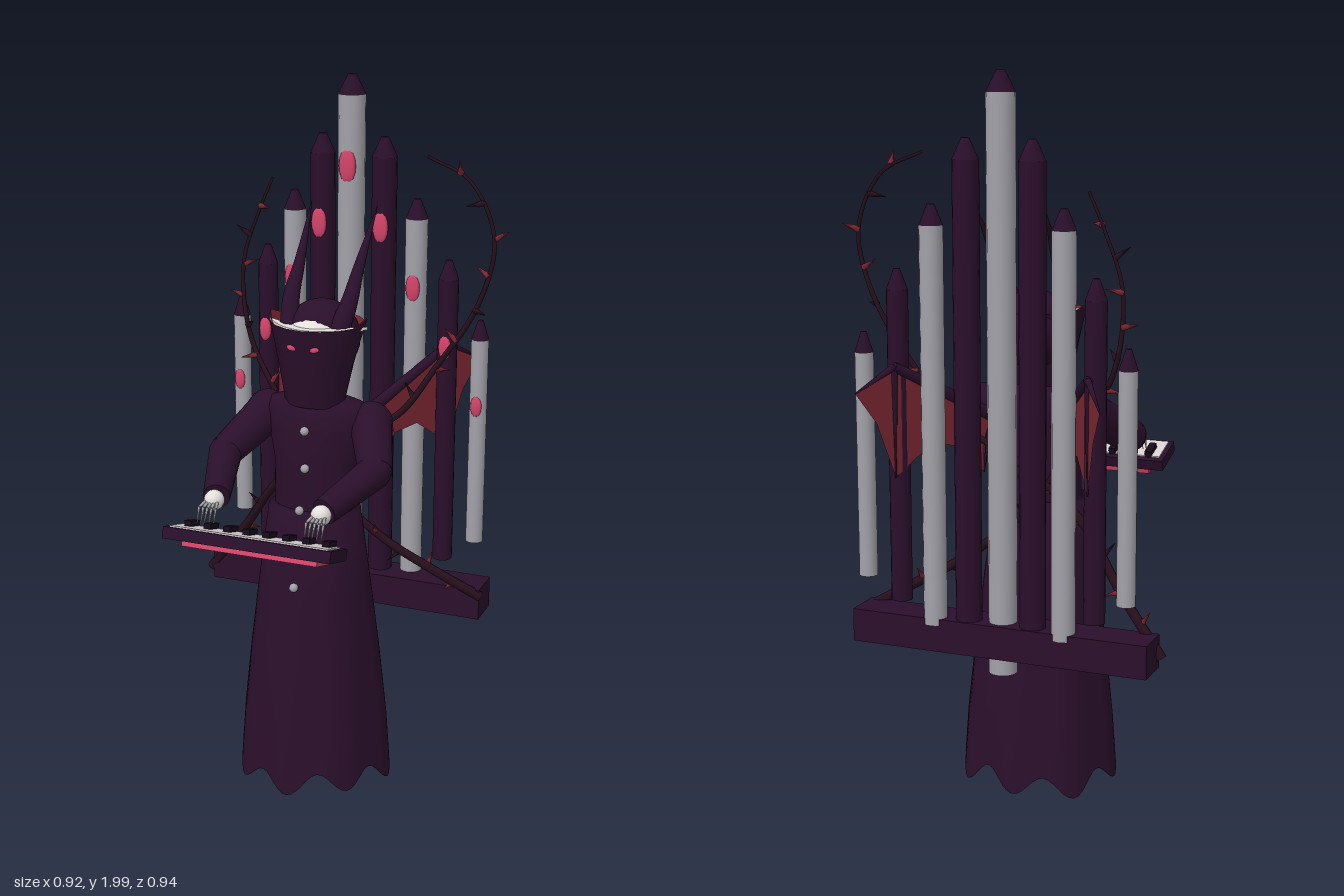
import * as THREE from 'three';

const mat = (name, color, side = THREE.FrontSide) => {
  const m = new THREE.MeshStandardMaterial({ color, side });
  m.name = name;
  return m;
};
const V = (x, y, z) => new THREE.Vector3(x, y, z);

export function createModel() {
  const cloth = mat('dark purple cloth', 0x2a0f2b);
  const vineMat = mat('dark vine', 0x260f1c);
  const black = mat('black keys', 0x170a1a);
  const silver = mat('silver pipe', 0xa2a2a9);
  const bone = mat('bone white', 0xe4e0dc);
  const ivory = mat('ivory keys', 0xd8cfd3);
  const pink = mat('pink glow', 0xd4446a);
  const red = mat('dark red lining', 0x7a2631, THREE.DoubleSide);

  const model = new THREE.Group();
  model.name = 'organPlayer';
  const body = new THREE.Group(); // symmetric parts around the figure's own axis
  body.name = 'figureAndOrgan';
  body.position.x = -0.0175;
  model.add(body);

  const add = (parent, name, geo, material, x = 0, y = 0, z = 0) => {
    const m = new THREE.Mesh(geo, material);
    m.name = name;
    m.position.set(x, y, z);
    parent.add(m);
    return m;
  };

  // Cylinder or cone running from point a to point b
  const limb = (parent, name, a, b, ra, rb, material, sides = 16) => {
    const d = b.clone().sub(a);
    const m = add(parent, name, new THREE.CylinderGeometry(rb, ra, d.length(), sides), material);
    m.position.copy(a).addScaledVector(d, 0.5);
    m.quaternion.setFromUnitVectors(V(0, 1, 0), d.normalize());
    return m;
  };

  // Curved tube whose radius follows a rule
  const taperTube = (curve, radius, segs, sides) => {
    const g = new THREE.TubeGeometry(curve, segs, 1, sides);
    const p = g.attributes.position, v = V(0, 0, 0);
    for (let i = 0; i < p.count; i++) {
      const t = Math.floor(i / (sides + 1)) / segs, c = curve.getPointAt(t);
      v.fromBufferAttribute(p, i).sub(c).multiplyScalar(radius(t)).add(c);
      p.setXYZ(i, v.x, v.y, v.z);
    }
    return g;
  };

  // Skin over elliptical rings [y, rx, rz, cz]; warp may bend a ring point
  const loft = (rings, n, { cap = false, flip = false, warp } = {}) => {
    const pos = [], idx = [];
    rings.forEach(([y, rx, rz, cz], r) => {
      for (let i = 0; i <= n; i++) {
        const a = (i / n) * Math.PI * 2;
        const p = V(Math.sin(a) * rx, y, Math.cos(a) * rz + cz);
        if (warp) warp(p, a, r, cz);
        pos.push(p.x, p.y, p.z);
        if (r && i < n) {
          const t = r * (n + 1) + i, b = t - n - 1;
          if (flip) idx.push(b, t + 1, b + 1, b, t, t + 1);
          else idx.push(b, b + 1, t + 1, b, t + 1, t);
        }
      }
    });
    if (cap) {
      const [y, , , cz] = rings[rings.length - 1], s = (rings.length - 1) * (n + 1), c = pos.length / 3;
      pos.push(0, y, cz);
      for (let i = 0; i < n; i++) idx.push(s + i, s + i + 1, c);
    }
    const g = new THREE.BufferGeometry();
    g.setAttribute('position', new THREE.Float32BufferAttribute(pos, 3));
    g.setIndex(idx);
    g.computeVertexNormals();
    return g;
  };

  // Organ pipes: nine, stepping down and back from the middle
  for (let i = -4; i <= 4; i++) {
    const k = Math.abs(i), x = i * 0.0927, z = -0.29 - k * 0.0155;
    const r = 0.039 - k * 0.0034, top = 2 - k * 0.17, bottom = 0.4 + k * 0.0625;
    const h = top - 0.055 - bottom;
    add(body, 'organPipe', new THREE.CylinderGeometry(r, r, h, 16), k % 2 ? cloth : silver, x, bottom + h / 2, z);
    add(body, 'pipeTip', new THREE.CylinderGeometry(r * 0.3, r, 0.055, 10), cloth, x, top - 0.0275, z);
    const eye = add(body, 'pipeMouth', new THREE.SphereGeometry(1, 8, 8), pink, x, top - 0.25, z + r * 0.9);
    eye.scale.set(r * 0.66, r * 1.25, 0.008);
  }
  add(body, 'organBase', new THREE.BoxGeometry(0.85, 0.092, 0.11), cloth, 0, 0.497, -0.29);

  // Robe skirt with scalloped hem and red lining
  const skirtRings = [[0.045, 0.222, 0.213, -0.017], [0.2, 0.211, 0.2, -0.017], [0.4, 0.189, 0.178, -0.016],
    [0.6, 0.163, 0.152, -0.014], [0.83, 0.131, 0.124, -0.013]];
  const pleat = (inset) => (p, a, r, cz) => {
    const wave = Math.cos(a * 8) + 0.3 * Math.cos(a * 3 + 1);
    const s = 1 + wave * 0.028 * (1 - r / 4) - inset;
    p.x *= s;
    p.z = (p.z - cz) * s + cz;
    if (r === 0) p.y -= wave * 0.029;
  };
  add(body, 'skirt', loft(skirtRings, 96, { cap: true, warp: pleat(0) }), cloth);
  add(body, 'skirtLining', loft(skirtRings, 96, { flip: true, warp: pleat(0.015) }), red);

  // Torso and buttons
  add(body, 'torso', loft([[0.82, 0.122, 0.076, -0.025], [0.96, 0.122, 0.078, -0.025], [1.06, 0.142, 0.085, -0.03],
    [1.11, 0.15, 0.08, -0.035], [1.135, 0.135, 0.068, -0.035], [1.15, 0.09, 0.05, -0.03]], 32, { cap: true }), cloth);
  [[1.07, 0.062], [0.96, 0.06], [0.85, 0.1], [0.74, 0.12], [0.635, 0.143]].forEach(([y, z]) =>
    add(body, 'button', new THREE.SphereGeometry(0.013, 12, 8), silver, 0, y, z));

  // Flared high collar, red inside, with raised front corners
  const collarRings = [[1.13, 0.085, 0.058, -0.015], [1.24, 0.105, 0.092, -0.025], [1.36, 0.132, 0.124, -0.038]];
  const corners = (inset) => (p, a, r, cz) => {
    p.x *= 1 - inset;
    p.z = (p.z - cz) * (1 - inset) + cz;
    if (r === 2 && Math.abs(Math.abs(p.x) - 0.132) < 0.01) { p.x *= 1.1; p.y += 0.02; }
  };
  add(body, 'collar', loft(collarRings, 16, { warp: corners(0) }), cloth);
  add(body, 'collarLining', loft(collarRings, 16, { flip: true, warp: corners(0.02) }), red);

  // Pale head, hood and crescent with points reaching the collar corners
  add(body, 'head', new THREE.SphereGeometry(0.096, 24, 16), bone, 0, 1.293, -0.034);
  add(body, 'hood', new THREE.SphereGeometry(0.108, 24, 16), cloth, 0, 1.307, -0.066);
  const moon = new THREE.Shape();
  moon.moveTo(-0.145, 0.04);
  moon.quadraticCurveTo(-0.08, -0.01, 0, -0.01);
  moon.quadraticCurveTo(0.08, -0.01, 0.145, 0.04);
  moon.quadraticCurveTo(0.08, -0.062, 0, -0.062);
  moon.quadraticCurveTo(-0.08, -0.062, -0.145, 0.04);
  const crescent = add(body, 'faceCrescent', new THREE.ExtrudeGeometry(moon, { depth: 0.008, bevelEnabled: false }), bone, 0, 1.348, 0);
  crescent.rotation.x = -Math.PI / 2;

  // Keyboard tilted towards the player
  const board = new THREE.Group();
  board.name = 'keyboard';
  board.position.set(0, 0.868, 0.408);
  board.rotation.x = -0.3;
  body.add(board);
  add(board, 'keyboardCase', new THREE.BoxGeometry(0.475, 0.032, 0.122), cloth);
  add(board, 'whiteKeys', new THREE.BoxGeometry(0.448, 0.006, 0.094), ivory, 0, 0.017, 0.005);
  add(board, 'keyboardUnderside', new THREE.BoxGeometry(0.385, 0.016, 0.09), pink, 0, -0.024, -0.012);
  for (let i = 0; i < 8; i++)
    add(board, 'blackKey', new THREE.BoxGeometry(0.02, 0.022, 0.055), black, -0.19 + i * 0.0562, 0.024, -0.016);

  // Bat wing outline as [z, y]; it runs outwards as it runs back
  const wing = [[-0.13, 1.08], [-0.25, 1.16], [-0.375, 1.235], [-0.47, 1.175], [-0.42, 1.09], [-0.375, 0.935],
    [-0.285, 1.015], [-0.225, 1.0], [-0.15, 0.915], [-0.15, 1.0]];
  const wingX = (z) => 0.1 + (-0.13 - z) * 0.7;

  for (const s of [-1, 1]) {
    const side = new THREE.Group();
    side.name = s > 0 ? 'leftSide' : 'rightSide';
    body.add(side);

    // Eye slit on the collar front
    const eye = add(side, 'eye', new THREE.SphereGeometry(1, 8, 6), pink, s * 0.034, 1.307, 0.073);
    eye.scale.set(0.014, 0.008, 0.006);
    eye.rotation.z = s * 0.25;

    // Horn sweeping up and back
    const horn = new THREE.CatmullRomCurve3([V(s * 0.07, 1.34, -0.01), V(s * 0.085, 1.41, -0.05),
      V(s * 0.088, 1.5, -0.12), V(s * 0.098, 1.65, -0.235)]);
    add(side, 'horn', taperTube(horn, (t) => 0.03 * (1 - t) + 0.001, 20, 10), cloth);

    // Arm
    const shoulder = V(s * 0.155, 1.08, -0.045), elbow = V(s * 0.222, 0.995, 0.1), wrist = V(s * 0.155, 0.942, 0.305);
    add(side, 'shoulder', new THREE.SphereGeometry(0.062, 16, 12), cloth, shoulder.x, shoulder.y, shoulder.z);
    limb(side, 'upperArm', shoulder, elbow, 0.06, 0.047, cloth);
    add(side, 'elbow', new THREE.SphereGeometry(0.046, 16, 12), cloth, elbow.x, elbow.y, elbow.z);
    limb(side, 'forearm', elbow, wrist, 0.047, 0.037, cloth);

    // Hand with thin arched fingers
    add(side, 'hand', new THREE.SphereGeometry(0.028, 16, 12), bone, s * 0.154, 0.938, 0.322);
    for (let f = -2; f <= 2; f++) {
      const a = V(s * 0.154 + f * 0.008, 0.94, 0.335), b = V(s * 0.154 + f * 0.012, 0.93, 0.365);
      limb(side, 'finger', a, b, 0.005, 0.004, silver, 6);
      limb(side, 'fingertip', b, V(b.x, 0.89, 0.39 - Math.abs(f) * 0.005), 0.004, 0.001, silver, 6);
    }

    // Wing membrane and bones
    const shape = new THREE.Shape(wing.map(([z, y]) => new THREE.Vector2(z, y)));
    const g = new THREE.ShapeGeometry(shape), p = g.attributes.position;
    for (let i = 0; i < p.count; i++) p.setXYZ(i, s * wingX(p.getX(i)), p.getY(i), p.getX(i));
    g.computeVertexNormals();
    add(side, 'wingMembrane', g, red);
    const at = (i) => V(s * wingX(wing[i][0]), wing[i][1], wing[i][0]);
    limb(side, 'wingArm', V(s * 0.07, 1.04, -0.08), at(2), 0.02, 0.013, cloth, 8);
    for (const tip of [3, 5, 8]) limb(side, 'wingFinger', at(tip === 8 ? 0 : 2), at(tip), 0.01, 0.002, cloth, 6);
  }

  // Thorny vines climbing from the base, crossing behind the figure
  const vines = [
    [V(-0.455, 0.48, -0.25), V(-0.33, 0.64, -0.225), V(-0.2, 0.82, -0.19), V(0, 0.97, -0.18), V(0.16, 1.06, -0.2),
      V(0.26, 1.2, -0.225), V(0.38, 1.4, -0.24), V(0.415, 1.58, -0.25), V(0.34, 1.73, -0.26), V(0.215, 1.79, -0.265)],
    [V(0.41, 0.52, -0.245), V(0.27, 0.6, -0.21), V(0.12, 0.69, -0.185), V(-0.06, 0.85, -0.17), V(-0.2, 1.06, -0.2),
      V(-0.31, 1.24, -0.235), V(-0.335, 1.45, -0.25), V(-0.29, 1.6, -0.26), V(-0.25, 1.7, -0.27)],
  ];
  vines.forEach((pts) => {
    const curve = new THREE.CatmullRomCurve3(pts);
    add(model, 'vine', taperTube(curve, (t) => 0.015 - 0.011 * t, 80, 8), vineMat);
    for (let i = 1; i < 17; i++) {
      const t = i / 17, c = curve.getPointAt(t), d = curve.getTangentAt(t);
      const out = V(-d.y, d.x, 0).normalize().multiplyScalar(i % 2 ? 1 : -1);
      out.z = [0.9, -0.2, -0.9, 0.3][i % 4];
      out.normalize().addScaledVector(d, 0.3);
      limb(model, 'thorn', c, c.clone().addScaledVector(out, 0.048), 0.01, 0.0005, i % 3 ? red : vineMat, 6);
    }
  });
  return model;
}
